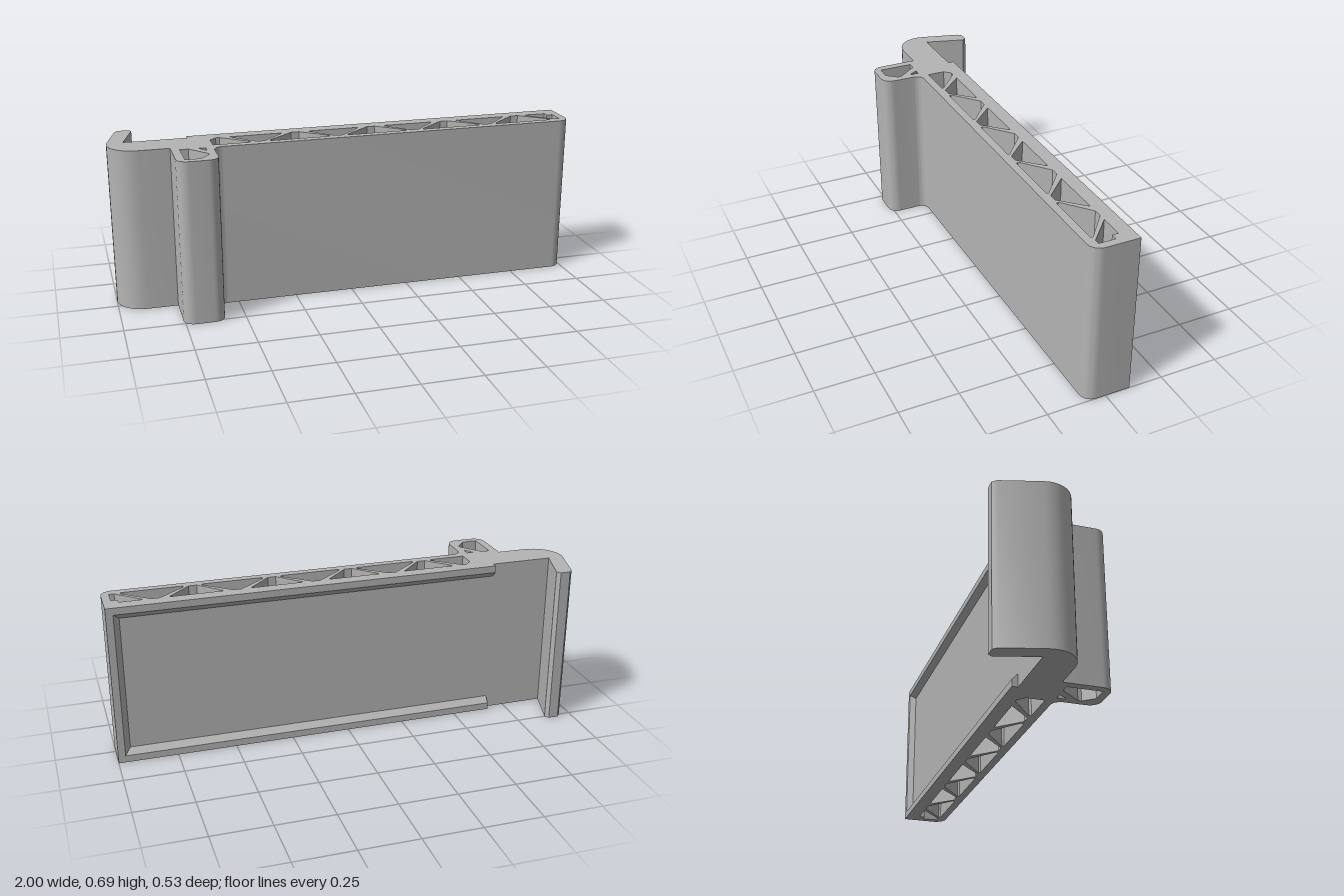
import * as THREE from 'three';
import { toCreasedNormals } from 'three/addons/utils/BufferGeometryUtils.js';

const HEIGHT = 0.69;
const FLOOR = -0.08; // z of the recessed back wall
const RIM = -0.105; // z of the raised rim

// Closed hole from [x, z] points (shape y is -z)
const hole = (pts) => new THREE.Path(pts.map(([x, z]) => new THREE.Vector2(x, -z)));

// Plan outline: hook, clip pocket and long bar
function outline() {
  const s = new THREE.Shape();
  const line = (x, z) => s.lineTo(x, -z);
  const curve = (ax, az, bx, bz, x, z) => s.bezierCurveTo(ax, -az, bx, -bz, x, -z);
  s.moveTo(1, -FLOOR);
  line(-0.93, FLOOR);
  line(-0.88, -0.25); // hook
  line(-0.892, -0.268);
  line(-0.935, -0.268);
  line(-0.951, -0.25);
  line(-0.996, -0.085);
  curve(-1.016, -0.01, -0.96, 0.06, -0.88, 0.06);
  line(-0.755, 0.06);
  line(-0.755, 0.22); // pocket
  curve(-0.755, 0.247, -0.735, 0.267, -0.708, 0.267);
  line(-0.632, 0.267);
  curve(-0.605, 0.267, -0.585, 0.247, -0.585, 0.22);
  line(-0.585, 0.13);
  curve(-0.585, 0.107, -0.568, 0.09, -0.545, 0.09);
  line(0.95, 0.09); // bar
  curve(0.978, 0.09, 1, 0.068, 1, 0.04);
  s.closePath();
  return s;
}

// Truss openings between the front and back walls, and the pocket openings
function openings() {
  const top = -0.047, bottom = 0.056, pitch = 0.335;
  const list = [];
  for (let i = 0; i < 4; i++) {
    const d = -0.38 + i * pitch; // triangle pointing to the front
    list.push(hole([[d - 0.113, top], [d + 0.113, top], [d + 0.017, 0.05], [d - 0.017, 0.05]]));
    const u = d + pitch / 2; // triangle pointing to the back
    list.push(hole([[u - 0.017, top], [u + 0.017, top], [u + 0.13, 0.047], [u + 0.126, bottom],
      [u - 0.126, bottom], [u - 0.13, 0.047]]));
  }
  // Openings at the two ends of the truss
  list.push(hole([[-0.58, -0.02], [-0.552, top], [-0.536, top], [-0.422, 0.047], [-0.427, bottom], [-0.58, bottom]]));
  list.push(hole([[0.84, top], [0.94, top], [0.94, -0.02], [0.967, -0.02], [0.967, 0.05], [0.945, 0.05]]));
  // Pocket openings
  list.push(hole([[-0.72, 0.09], [-0.685, 0.09], [-0.617, 0.175], [-0.617, 0.19], [-0.655, 0.235], [-0.72, 0.235]]));
  list.push(hole([[-0.643, 0.09], [-0.615, 0.09], [-0.615, 0.125], [-0.622, 0.125]]));
  return list;
}

// U-shaped rim with a sloped inner edge, swept through four mitred sections
function rimGeometry() {
  const stations = [
    [-0.665, 0, 0, 1], [1, 0, -1, 1], [1, HEIGHT, -1, -1], [-0.665, HEIGHT, 0, -1],
  ];
  const profile = [[0, FLOOR], [0, RIM], [0.03, RIM], [0.055, FLOOR]];
  const rings = stations.map(([x, y, dx, dy]) => profile.map(([inset, z]) => [x + dx * inset, y + dy * inset, z]));
  const pos = [];
  const quad = (a, b, c, d) => pos.push(...a, ...b, ...c, ...a, ...c, ...d);
  for (let s = 0; s < 3; s++) {
    for (let k = 0; k < 3; k++) {
      quad(rings[s][k], rings[s][k + 1], rings[s + 1][k + 1], rings[s + 1][k]);
    }
  }
  const [a, b, c, d] = rings[0];
  quad(a, d, c, b);
  quad(...rings[3]);
  const g = new THREE.BufferGeometry();
  g.setAttribute('position', new THREE.Float32BufferAttribute(pos, 3));
  g.computeVertexNormals();
  return g;
}

export function createModel() {
  const group = new THREE.Group();
  group.name = 'hookedHolder';
  const grey = new THREE.MeshStandardMaterial({ color: 0xb4b4b4 });
  grey.name = 'grey';

  // Trussed body with hook and pocket
  const shape = outline();
  shape.holes = openings();
  const geo = new THREE.ExtrudeGeometry(shape, { depth: HEIGHT, bevelEnabled: false, curveSegments: 10 });
  geo.rotateX(-Math.PI / 2);
  const body = new THREE.Mesh(toCreasedNormals(geo, 0.5), grey);
  body.name = 'body';

  // Raised rim around the back recess
  const rim = new THREE.Mesh(rimGeometry(), grey);
  rim.name = 'backRim';

  group.add(body, rim);
  return group;
}
